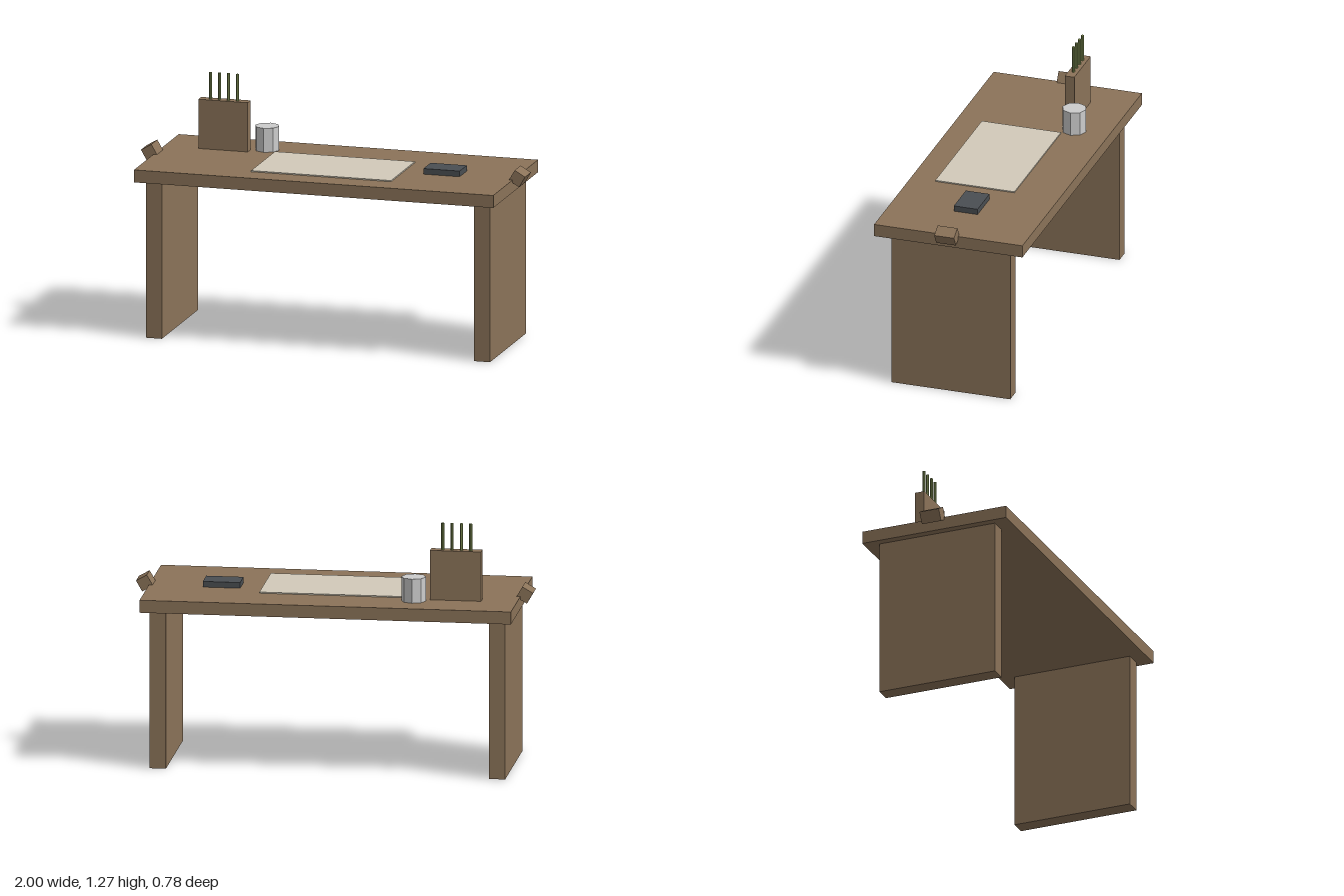
import * as THREE from 'three';

const mat = (name, color) => {
  const m = new THREE.MeshStandardMaterial({ color });
  m.name = name;
  return m;
};

export function createModel() {
  const wood = mat('brown wood', 0x8b7359);
  const paper = mat('cream paper', 0xd2cab9);
  const metal = mat('light grey metal', 0xcccccc);
  const dark = mat('charcoal', 0x4a4e52);
  const green = mat('olive green', 0x8a9a5b);
  const desk = new THREE.Group();
  desk.name = 'desk';

  const add = (name, geometry, material, x, y, z) => {
    const mesh = new THREE.Mesh(geometry, material);
    mesh.name = name;
    mesh.position.set(x, y, z);
    desk.add(mesh);
    return mesh;
  };
  // Box given by its size, its centre in x and z, and its base height
  const box = (name, material, w, h, d, x, base, z) =>
    add(name, new THREE.BoxGeometry(w, h, d), material, x, base + h / 2, z);

  const topY = 0.877;
  box('deskTop', wood, 1.87, 0.064, 0.78, 0, 0.813, 0);

  // Slab legs and tilted end blocks, mirrored
  for (const [side, s] of [['left', 1], ['right', -1]]) {
    box(side + 'Leg', wood, 0.082, 0.813, 0.626, s * 0.854, 0, 0);
    const block = add(side + 'EndBlock', new THREE.BoxGeometry(0.0625, 0.0625, 0.104),
      wood, s * 0.957, 0.885, 0);
    block.rotation.z = -s * Math.PI / 6;
  }

  // Things lying on the desk
  box('paperSheet', paper, 0.728, 0.006, 0.416, 0, topY, 0.052);
  box('darkCase', dark, 0.188, 0.029, 0.125, 0.568, topY, 0);

  // Faceted cup
  const cup = new THREE.CylinderGeometry(0.062, 0.062, 0.123, 8).toNonIndexed();
  cup.computeVertexNormals();
  add('cup', cup, metal, -0.42, topY + 0.0615, -0.208);

  // Upright holder with four thin sticks
  box('stickHolder', wood, 0.257, 0.253, 0.05, -0.627, topY, -0.156);
  for (let i = 0; i < 4; i++) {
    const stick = new THREE.CylinderGeometry(0.0078, 0.0078, 0.187, 8).toNonIndexed();
    stick.computeVertexNormals();
    add('stick' + (i + 1), stick, green, -0.7 + i * 0.047, 1.1735, -0.156);
  }
  return desk;
}
